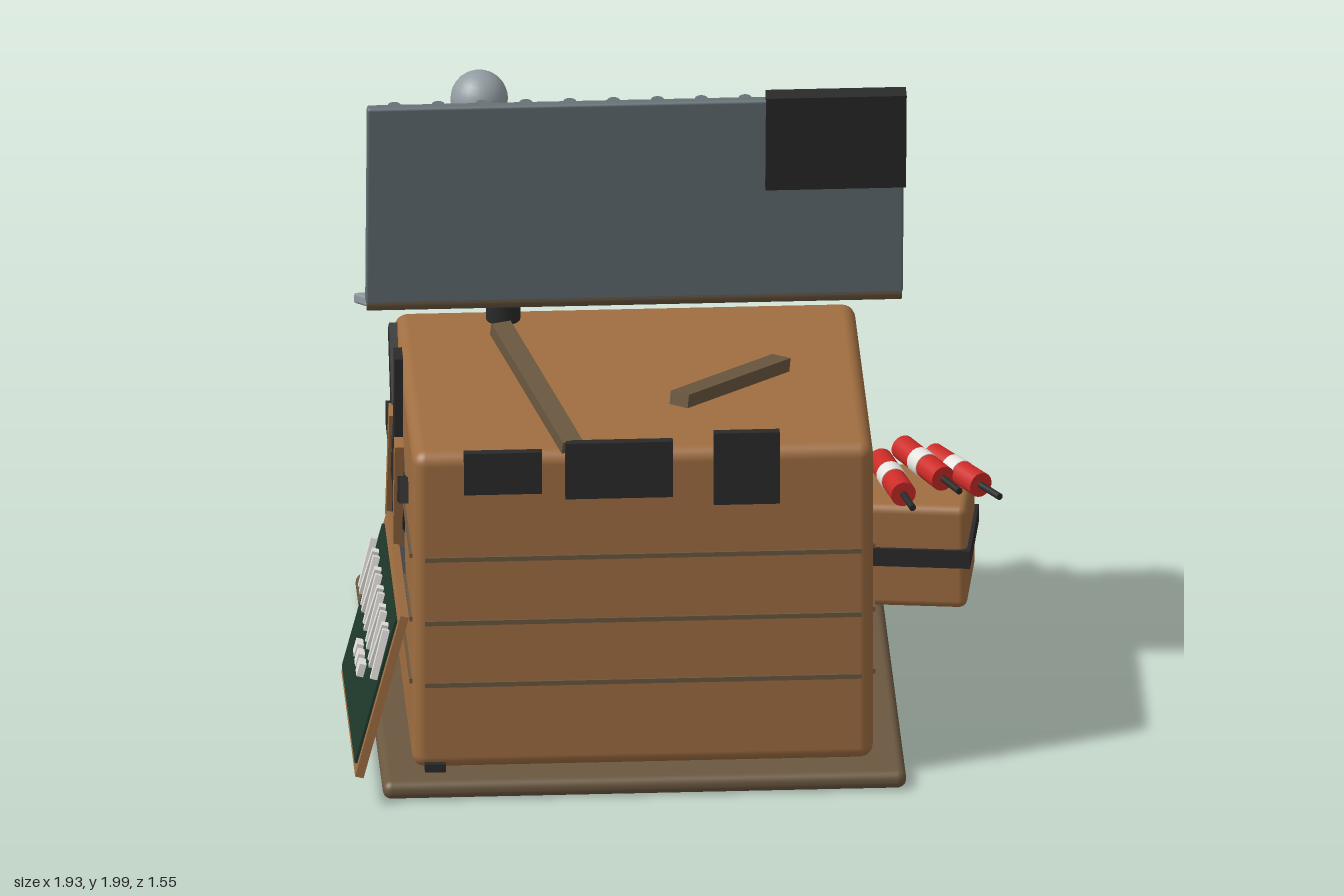
import * as THREE from 'three';
import { RoundedBoxGeometry } from 'three/addons/geometries/RoundedBoxGeometry.js';

const mat = (name, color) => {
  const m = new THREE.MeshStandardMaterial({ color });
  m.name = name;
  return m;
};

export function createModel() {
  const wood = mat('warm wood', 0xa06e41), darkWood = mat('dark wood', 0x6b5840);
  const black = mat('charred black', 0x2a2a2a), metal = mat('light metal', 0x939da2);
  const darkMetal = mat('dark metal', 0x667176), orange = mat('orange paint', 0xe34a12);
  const green = mat('green paint', 0x0fa044), white = mat('white', 0xe6e4df);
  const red = mat('red', 0xcc2b27), board = mat('board green', 0x1f3a2d);

  const model = new THREE.Group();
  const V = (x, y, z) => new THREE.Vector3(x, y, z);
  const group = (name, parent = model) => {
    const g = new THREE.Group();
    g.name = name;
    parent.add(g);
    return g;
  };
  const add = (name, geo, m, pos, parent = model) => {
    const mesh = new THREE.Mesh(geo, m);
    mesh.name = name;
    mesh.position.set(...pos);
    parent.add(mesh);
    return mesh;
  };
  const box = (name, size, m, pos, parent, r = 0) => add(name,
    r ? new RoundedBoxGeometry(...size, 3, r) : new THREE.BoxGeometry(...size), m, pos, parent);
  const ball = (name, r, m, pos, parent) => add(name, new THREE.SphereGeometry(r, 24, 16), m, pos, parent);
  // Square beam between two points
  const beam = (name, a, b, w, h, m, parent) => {
    const mesh = box(name, [w, h, a.distanceTo(b)], m, a.clone().lerp(b, 0.5).toArray(), parent);
    mesh.lookAt(b);
    return mesh;
  };
  // Round rod between two points
  const rod = (name, a, b, r, m, parent) => {
    const mesh = add(name, new THREE.CylinderGeometry(r, r, a.distanceTo(b), 20), m,
      a.clone().lerp(b, 0.5).toArray(), parent);
    mesh.quaternion.setFromUnitVectors(V(0, 1, 0), b.clone().sub(a).normalize());
    return mesh;
  };

  // Ground slab and hut body
  box('groundSlab', [1.51, 0.055, 1.51], darkWood, [-0.135, 0.033, -0.025], model, 0.026);
  box('hutBody', [1.33, 0.995, 1.03], wood, [-0.135, 0.558, 0.125], model, 0.04);
  for (const y of [0.33, 0.525, 0.725]) {
    for (const z of [0.64, -0.39]) box('plankSeam', [1.26, 0.014, 0.012], darkWood, [-0.135, y, z]);
    for (const x of [-0.8, 0.53]) box('plankSeam', [0.014, 0.014, 0.97], darkWood, [x, y, 0.125]);
  }

  // Broken roof: each half runs away from the ridge along its local -z
  const roofHalf = (name, pos, angle, length, side, m) => {
    const g = group(name);
    g.position.set(...pos);
    g.rotation.x = angle;
    box('roofSheet', [1.55, 0.03, length], m, [-0.135, 0, -length / 2], g, 0.008);
    for (let i = 0; i < 12; i++) {
      const x = -0.83 + i * 0.1265;
      rod('roofRib', V(x, side * 0.015, -0.03), V(x, side * 0.015, -length + 0.005), 0.019, m, g);
    }
    return g;
  };
  roofHalf('lowerRoof', [0, 1.31, 0.115], -0.405, 0.64, 1, metal);
  const upper = roofHalf('upperRoof', [0, 1.32, 0.142], 1.705, 0.66, -1, darkMetal);
  box('roofPatch', [0.405, 0.05, 0.31], black, [0.4425, 0.012, -0.526], upper);
  rod('ridgeBeam', V(-0.905, 1.32, 0.125), V(0.637, 1.32, 0.125), 0.032, darkWood);

  // Bent chimney with smoke puffs
  const chimney = group('chimney');
  rod('chimneyPipe', V(-0.5, 1.155, -0.09), V(-0.5, 1.52, -0.09), 0.05, black, chimney);
  ball('chimneyElbow', 0.053, black, [-0.5, 1.52, -0.09], chimney);
  rod('chimneyTip', V(-0.5, 1.52, -0.09), V(-0.65, 1.69, -0.09), 0.05, black, chimney);
  ball('smokeSmall', 0.045, metal, [-0.675, 1.7, -0.1], chimney);
  ball('smokeMedium', 0.063, metal, [-0.64, 1.765, -0.1], chimney);
  ball('smokeLarge', 0.083, metal, [-0.57, 1.86, -0.07], chimney);

  // Loose planks on top and charred plates along the front edge
  beam('loosePlank', V(-0.52, 1.225, 0.13), V(-0.34, 1.07, 0.635), 0.06, 0.04, darkWood);
  beam('loosePlank', V(-0.03, 1.205, 0.62), V(0.29, 1.09, 0.12), 0.06, 0.04, darkWood);
  for (const [x, y, w, h] of [[-0.54, 1, 0.225, 0.13], [-0.205, 1.003, 0.31, 0.175], [0.163, 1, 0.19, 0.225]])
    box('charredPlate', [w, h, 0.026], black, [x, y, 0.648]);

  // Blast mark and boards on the right wall
  const blast = group('blastMark');
  const disc = add('blastCentre', new THREE.CylinderGeometry(0.16, 0.16, 0.02, 7), black, [-0.81, 0.72, 0.1], blast);
  disc.rotation.z = Math.PI / 2;
  for (const [z, y] of [[0.13, 1.15], [-0.18, 1.1], [-0.33, 0.76], [-0.05, 0.34], [0.36, 0.4], [0.45, 0.86]])
    beam('blastRay', V(-0.814, 0.72, 0.1), V(-0.814, y, z), 0.024, 0.075, black, blast);
  beam('wallBoard', V(-0.822, 0.5, -0.17), V(-0.822, 0.92, 0.01), 0.026, 0.05, wood, blast);
  beam('wallBoard', V(-0.822, 0.95, 0.31), V(-0.822, 0.58, 0.22), 0.026, 0.05, wood, blast);

  // Doors at the back
  const doorFrame = (name, x, m) => {
    const g = group(name);
    g.position.set(x, 0, -0.412);
    for (const s of [-1, 1]) box('doorPost', [0.06, 0.8, 0.055], m, [s * 0.23, 0.46, 0], g, 0.008);
    box('doorLintel', [0.52, 0.06, 0.055], m, [0, 0.83, 0], g, 0.008);
    box('doorLamp', [0.09, 0.055, 0.065], white, [0, 0.92, -0.022], g, 0.015);
    return g;
  };
  // Door leaf hinged on its left edge, opening outward by the given angle
  const doorLeaf = (parent, angle) => {
    const leaf = group('door', parent);
    leaf.position.set(0.2, 0, -0.01);
    leaf.rotation.y = -angle;
    box('doorPanel', [0.4, 0.735, 0.035], black, [-0.2, 0.43, 0], leaf);
    ball('doorKnob', 0.022, white, [-0.33, 0.42, -0.032], leaf);
  };
  doorLeaf(doorFrame('orangeDoorway', 0.24, orange), 0.73);
  doorLeaf(doorFrame('greenDoorway', -0.515, green), 0);

  // Small debris
  box('debris', [0.07, 0.03, 0.05], darkWood, [-0.77, 0.075, -0.47]);
  box('debris', [0.06, 0.025, 0.03], black, [-0.735, 0.073, 0.64]);

  // Leaning board with plain white strips
  const sign = group('leaningBoard');
  sign.position.set(-0.895, 0.352, 0.395);
  sign.rotation.z = -0.255;
  box('boardBack', [0.025, 0.52, 0.745], wood, [0, 0, 0], sign);
  box('boardFace', [0.009, 0.46, 0.69], board, [-0.016, 0, 0], sign);
  for (let i = 0; i < 11; i++) {
    const strip = box('whiteStrip', [0.02, 0.15, 0.02], white, [-0.033, 0.11, -0.325 + i * 0.065], sign);
    strip.rotation.x = i % 2 ? 0.15 : -0.15;
  }
  for (const z of [-0.07, 0, 0.07]) box('whiteDash', [0.02, 0.04, 0.045], white, [-0.033, -0.05, z], sign);

  // Crate with strap
  const crate = group('crate');
  crate.position.set(0.718, 0, -0.572);
  crate.rotation.y = -0.13;
  box('crateBody', [0.315, 0.32, 0.315], wood, [0, 0.226, 0], crate, 0.025);
  box('crateStrap', [0.335, 0.055, 0.335], black, [0, 0.228, 0], crate);

  // Red sticks with white bands and fuses on the crate
  for (const [x, z, dx, dz] of [[0.645, -0.53, 0.22, 1], [0.74, -0.625, 0.46, 1], [0.835, -0.57, 0.58, 1]]) {
    const stick = group('redStick');
    const c = V(x, 0.43, z), d = V(dx, 0, dz).normalize();
    const at = (t) => c.clone().addScaledVector(d, t);
    rod('stickBody', at(-0.125), at(0.125), 0.037, red, stick);
    rod('stickBand', at(-0.027), at(0.027), 0.039, white, stick);
    rod('fuse', at(0.12), at(0.225), 0.01, black, stick);
  }
  return model;
}
